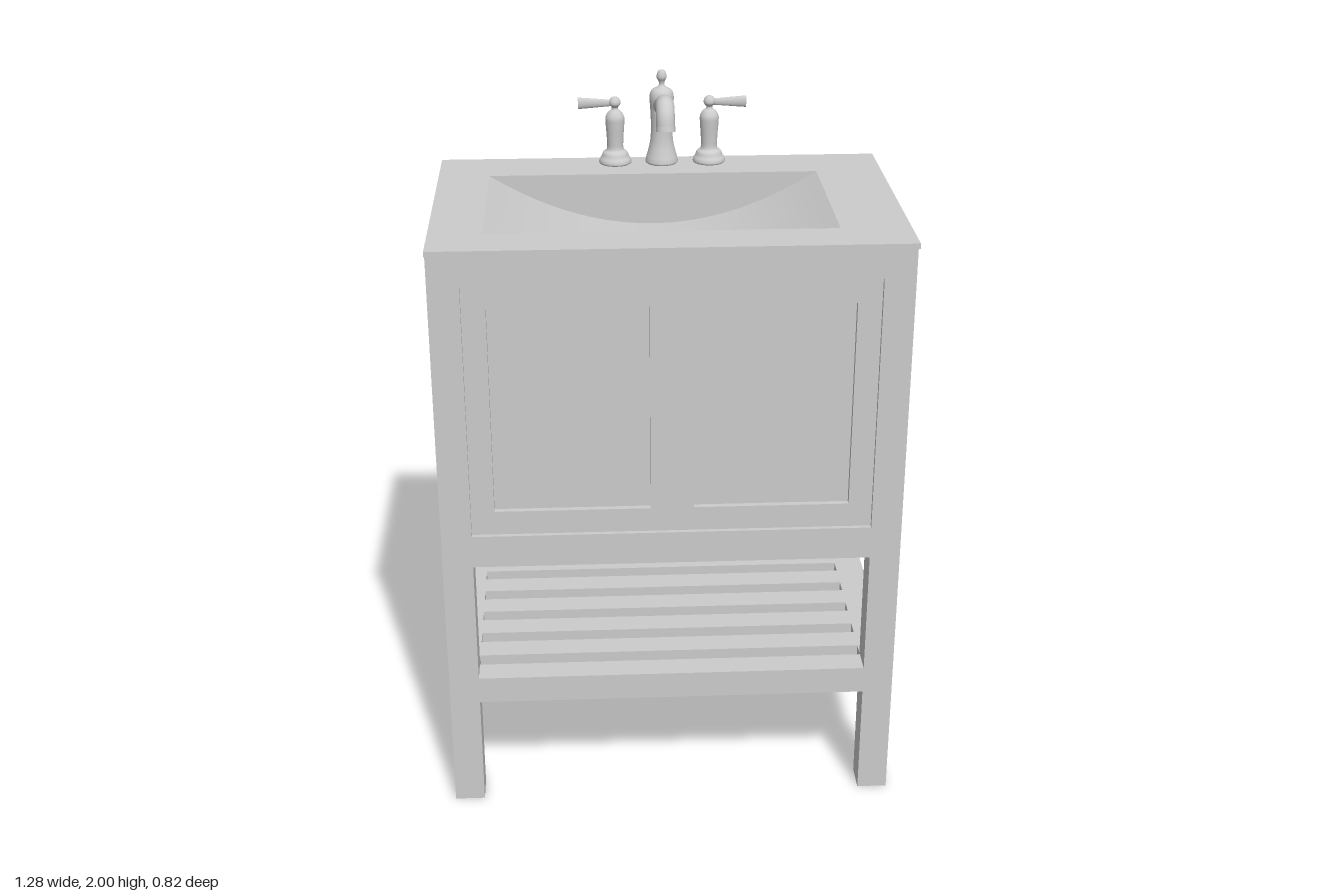
import * as THREE from 'three';

const material = new THREE.MeshStandardMaterial({ color: 0xcccccc, side: THREE.DoubleSide });

function add(parent, name, geometry) {
  const mesh = new THREE.Mesh(geometry, material);
  mesh.name = name;
  parent.add(mesh);
  return mesh;
}

// Box given by its limits on each axis
function block(parent, name, [x0, x1], [y0, y1], [z0, z1]) {
  const mesh = add(parent, name, new THREE.BoxGeometry(x1 - x0, y1 - y0, z1 - z0));
  mesh.position.set((x0 + x1) / 2, (y0 + y1) / 2, (z0 + z1) / 2);
  return mesh;
}

function rect(Type, x0, x1, y0, y1) {
  return new Type([[x0, y0], [x1, y0], [x1, y1], [x0, y1]].map(p => new THREE.Vector2(...p)));
}

function frame(outer, holes, depth) {
  const shape = rect(THREE.Shape, ...outer);
  shape.holes = holes.map(h => rect(THREE.Path, ...h));
  return new THREE.ExtrudeGeometry(shape, { depth, bevelEnabled: false });
}

// Turned part; the profile is smoothed through its points
function turned(parent, name, points) {
  const curve = new THREE.CatmullRomCurve3(points.map(([r, y]) => new THREE.Vector3(r, y, 0)), false, 'centripetal');
  const profile = curve.getPoints(points.length * 4).map(p => new THREE.Vector2(Math.max(p.x, 0), p.y));
  return add(parent, name, new THREE.LatheGeometry(profile, 28));
}

function buildCabinet() {
  const cabinet = new THREE.Group();
  cabinet.name = 'cabinet';
  const W = 0.64, L = 0.555, TOP = 1.7, LOW = 0.78;

  // Four legs running the full height
  for (const [x0, x1] of [[-W, -L], [L, W]]) {
    block(cabinet, 'frontLeg', [x0, x1], [0, TOP], [0.3, 0.385]);
    block(cabinet, 'backLeg', [x0, x1], [0, TOP], [-0.41, -0.325]);
  }

  // Plain back, plain right side and floor
  block(cabinet, 'backPanel', [-L, L], [LOW, TOP], [-0.41, -0.38]);
  block(cabinet, 'rightSidePanel', [-W, -W + 0.03], [LOW, TOP], [-0.325, 0.3]);
  block(cabinet, 'floor', [-0.61, 0.62], [LOW, LOW + 0.02], [-0.38, 0.34]);

  // Left side with a recessed panel
  block(cabinet, 'leftSidePanel', [0.6, 0.62], [LOW, TOP], [-0.325, 0.3]);
  block(cabinet, 'leftTopRail', [0.62, W], [1.61, TOP], [-0.325, 0.3]);
  block(cabinet, 'leftFrontStile', [0.62, W], [LOW, 1.61], [0.28, 0.3]);
  block(cabinet, 'leftBackStile', [0.62, W], [LOW, 1.61], [-0.325, -0.31]);

  // Front rails, and the door front with two recessed panels
  block(cabinet, 'frontTopRail', [-L, L], [1.61, TOP], [0.34, 0.385]);
  block(cabinet, 'frontBottomRail', [-L, L], [LOW, 0.875], [0.34, 0.385]);
  const holes = [[-0.49, -0.06, 0.945, 1.54], [0.06, 0.49, 0.945, 1.54]];
  add(cabinet, 'doorFrame', frame([-L, L, 0.875, 1.61], holes, 0.02)).position.z = 0.352;
  block(cabinet, 'doorPanels', [-L, L], [0.875, 1.61], [0.34, 0.355]);
  return cabinet;
}

function buildShelf() {
  const shelf = new THREE.Group();
  shelf.name = 'slattedShelf';
  for (const [x0, x1] of [[-0.64, -0.555], [0.555, 0.64]])
    block(shelf, 'endRail', [x0, x1], [0.335, 0.415], [-0.315, 0.3]);
  for (let i = 0; i < 6; i++) {
    const z = -0.315 + i * 0.125;
    block(shelf, 'slat', [-0.555, 0.555], [0.335, 0.415], [z, z + 0.075]);
  }
  return shelf;
}

function buildSink() {
  const sink = new THREE.Group();
  sink.name = 'sink';
  const x0 = -0.495, x1 = 0.45, z0 = -0.24, z1 = 0.275, top = 1.715, depth = 0.15;
  const mid = (x0 + x1) / 2, half = (x1 - x0) / 2;
  const floorY = x => top - depth * (1 - ((x - mid) / half) ** 2);

  // Countertop with a rectangular opening
  const counter = add(sink, 'countertop', frame([-0.64, 0.64, -0.41, 0.41], [[x0, x1, -z1, -z0]], 0.015));
  counter.rotation.x = -Math.PI / 2;
  counter.position.y = top - 0.015;

  // Curved basin floor
  const floor = new THREE.PlaneGeometry(x1 - x0, z1 - z0, 40, 1);
  floor.rotateX(-Math.PI / 2).translate(mid, 0, (z0 + z1) / 2);
  const p = floor.attributes.position;
  for (let i = 0; i < p.count; i++) p.setY(i, floorY(p.getX(i)));
  floor.computeVertexNormals();
  add(sink, 'basinFloor', floor);

  // Flat basin walls at the front and back
  const outline = [];
  for (let i = 0; i <= 40; i++) {
    const x = x0 + (x1 - x0) * i / 40;
    outline.push(new THREE.Vector2(x, floorY(x)));
  }
  for (const z of [z0, z1])
    add(sink, 'basinWall', new THREE.ShapeGeometry(new THREE.Shape(outline))).position.z = z;
  return sink;
}

// Handle with a lever pointing to +x or -x
function buildHandle(side) {
  const handle = new THREE.Group();
  handle.name = side > 0 ? 'leftHandle' : 'rightHandle';
  turned(handle, 'handleBody', [[0, 0], [0.046, 0], [0.046, 0.01], [0.04, 0.02], [0.035, 0.032], [0.025, 0.04],
    [0.024, 0.07], [0.027, 0.115], [0.027, 0.135], [0.019, 0.15], [0.01, 0.157], [0.009, 0.163],
    [0.016, 0.172], [0.016, 0.182], [0.009, 0.192], [0, 0.194]]);
  // Flat lever, taller towards its tip
  const lever = new THREE.CylinderGeometry(0.017, 0.009, 0.1, 16);
  lever.rotateZ(-side * Math.PI / 2).scale(1, 1, 0.5);
  add(handle, 'lever', lever).position.set(side * 0.056, 0.176, 0);
  return handle;
}

function buildSpout() {
  const spout = new THREE.Group();
  spout.name = 'spout';
  turned(spout, 'spoutBody', [[0, 0], [0.046, 0], [0.046, 0.012], [0.041, 0.03], [0.034, 0.06], [0.031, 0.1],
    [0.033, 0.16], [0.035, 0.195], [0.029, 0.212], [0.014, 0.221], [0.008, 0.228], [0.009, 0.238],
    [0.014, 0.248], [0.013, 0.26], [0.008, 0.269], [0, 0.27]]);
  // Arm that reaches over the basin and turns down
  const path = new THREE.CatmullRomCurve3([[0.165, 0], [0.19, 0.08], [0.212, 0.16], [0.214, 0.195], [0.192, 0.217], [0.158, 0.226]]
    .map(([y, z]) => new THREE.Vector3(0, y, z)));
  add(spout, 'spoutArm', new THREE.TubeGeometry(path, 32, 0.026, 20));
  const tip = add(spout, 'spoutTip', new THREE.CylinderGeometry(0.027, 0.027, 0.014, 20));
  tip.position.set(0, 0.159, 0.226);
  tip.rotation.x = -0.25;
  return spout;
}

export function createModel() {
  const model = new THREE.Group();
  model.name = 'bathroomVanity';
  const faucet = new THREE.Group();
  faucet.name = 'faucet';
  const parts = [[buildHandle(-1), -0.13], [buildSpout(), 0.005], [buildHandle(1), 0.143]];
  for (const [part, x] of parts) {
    part.position.set(x, 1.73, -0.31);
    faucet.add(part);
  }
  model.add(buildCabinet(), buildShelf(), buildSink(), faucet);
  return model;
}
